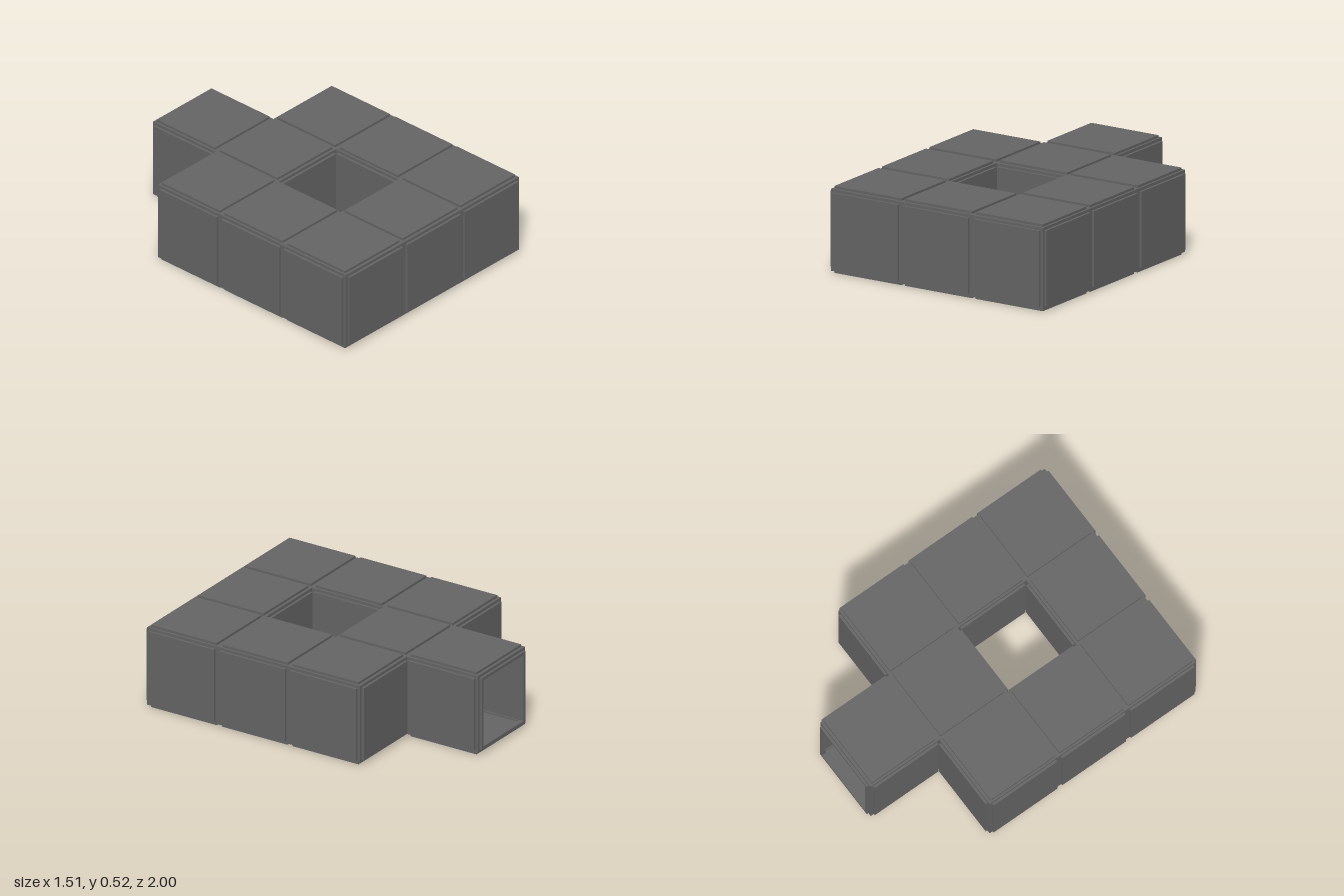
import * as THREE from 'three';

const P = 0.4925;      // cell size
const T = 0.015;       // how far a panel stands proud of the frame
const B = 0.024;       // frame bar thickness
const PANEL = 0.457;   // panel side length
const Y = P / 2 + T;   // height of the cell centres

const material = new THREE.MeshStandardMaterial({ color: 0x666666 });

// Floor plan, back row first: a square loop with one entrance stub
const PLAN = ['.#.', '###', '#.#', '###'];
const filled = (r, c) => PLAN[r]?.[c] === '#';

function box(parent, name, size, pos) {
  const mesh = new THREE.Mesh(new THREE.BoxGeometry(...size), material);
  mesh.name = name;
  mesh.position.set(...pos);
  parent.add(mesh);
  return mesh;
}

// Twelve bars along the edges of one cell
function cellFrame() {
  const frame = new THREE.Group();
  frame.name = 'cellFrame';
  const e = P / 2 - B / 2, inner = P - 2 * B;
  for (const a of [-e, e]) {
    for (const b of [-e, e]) {
      box(frame, 'post', [B, P, B], [a, 0, b]);
      box(frame, 'crossRail', [inner, B, B], [0, a, b]);
      box(frame, 'sideRail', [B, B, inner], [a, b, 0]);
    }
  }
  return frame;
}

// Raised rim around the open entrance
function entranceRim() {
  const h = PANEL / 2, i = h - 0.018;
  const shape = new THREE.Shape([[-h, -h], [h, -h], [h, h], [-h, h]].map(p => new THREE.Vector2(...p)));
  shape.holes.push(new THREE.Path([[-i, -i], [-i, i], [i, i], [i, -i]].map(p => new THREE.Vector2(...p))));
  const geometry = new THREE.ExtrudeGeometry(shape, { depth: 2 * T, bevelEnabled: false });
  const rim = new THREE.Mesh(geometry, material);
  rim.name = 'entranceRim';
  rim.position.z = -P / 2 - T;
  return rim;
}

export function createModel() {
  const model = new THREE.Group();
  model.name = 'corridorLoop';
  PLAN.forEach((row, r) => [...row].forEach((_, c) => {
    if (!filled(r, c)) return;
    const cell = new THREE.Group();
    cell.name = 'corridorCell';
    cell.position.set((c - 1) * P, Y, (r - 1.5) * P);
    cell.add(cellFrame());

    // Roof and floor
    box(cell, 'roofPanel', [PANEL + 0.01, 2 * T, PANEL], [0, P / 2, 0]);
    box(cell, 'floorPanel', [PANEL + 0.01, 2 * T, PANEL], [0, -P / 2, 0]);

    // Walls wherever there is no neighbouring cell
    for (const [dx, dz] of [[1, 0], [-1, 0], [0, 1], [0, -1]]) {
      if (filled(r + dz, c + dx)) continue;
      if (r === 0 && dz === -1) {
        cell.add(entranceRim());
        continue;
      }
      const size = dx ? [2 * T, PANEL, PANEL] : [PANEL, PANEL, 2 * T];
      box(cell, 'wallPanel', size, [dx * P / 2, 0, dz * P / 2]);
    }
    model.add(cell);
  }));
  return model;
}
